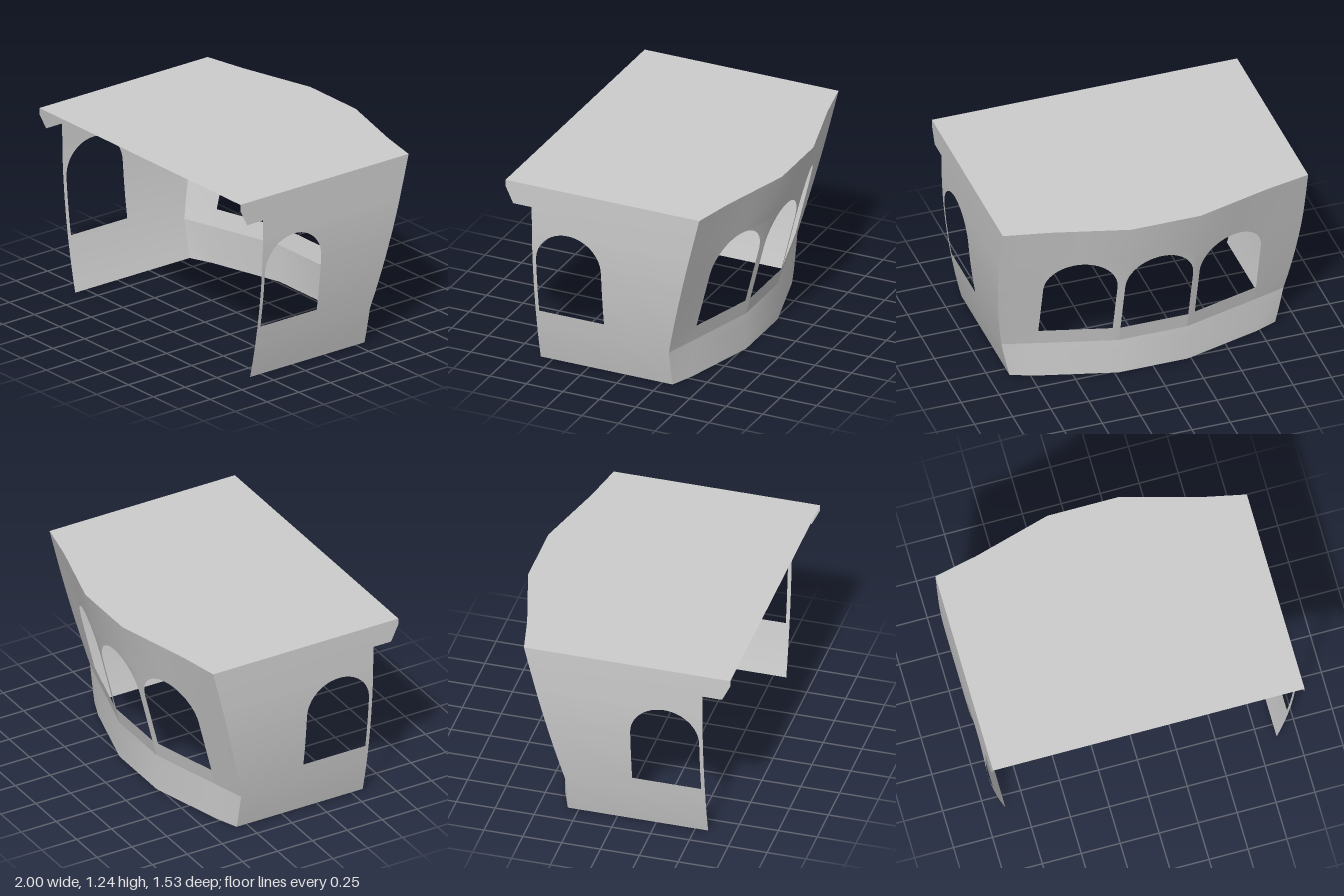
import * as THREE from 'three';
import { mergeVertices } from 'three/addons/utils/BufferGeometryUtils.js';

const TOP = 1.24, BAND = 0.245;           // roof height, top of the upright lower band
const SILL = 0.355, SPRING = 0.725, CROWN = 0.94, HALF = 0.222; // window opening
const FRONT = 0.583, EAVE = 0.763;        // front edge of the walls, front edge of the roof
const KINKS = [[0.226, 0.197], [0.72, 0.06]]; // folds of the back wall: x, bulge

const material = new THREE.MeshStandardMaterial({ color: 0xcccccc, side: THREE.DoubleSide });

// Half width of the shell, curving in towards the floor
const width = y => 1 - 0.13 * Math.max(0, 1 - y / 1.05) ** 2;
// z of the rear corners: upright band, then leaning backwards
const corner = y => -0.32 - 0.245 * Math.max(0, y - BAND) / (TOP - BAND);

// z of the folded back wall
function backZ(x, y) {
  const a = Math.abs(x), w = width(y), [[x0, b0], [x1, b1]] = KINKS;
  let bulge = b0;
  if (a > x1) bulge = b1 * (w - a) / (w - x1);
  else if (a > x0) bulge = b0 + (b1 - b0) * (a - x0) / (x1 - x0);
  return corner(y) - bulge;
}

// Half width of an arched opening at height y (zero above its crown)
function opening(y) {
  if (y <= SPRING) return HALF;
  const t = Math.min(1, (y - SPRING) / (CROWN - SPRING));
  return HALF * Math.sqrt(1 - t * t);
}

// Row heights; those in the arch are spaced by angle
const lowerRows = [0, 0.06, 0.12, 0.18, BAND];
const upperRows = [BAND, SILL, 0.48, 0.6];
const ARCH = 12;
for (let i = 0; i < ARCH; i++) {
  upperRows.push(SPRING + (CROWN - SPRING) * Math.sin(i / ARCH * Math.PI / 2));
}
upperRows.push(CROWN, 1.09, 1.2, TOP);

// Sheet lofted through rows of points; the listed columns are left open at window height
function sheet(name, rows, pointsAt, windows = []) {
  const pos = [], index = [];
  let n = 0;
  rows.forEach((y, j) => {
    const pts = pointsAt(y);
    n = pts.length;
    pts.forEach(p => pos.push(...p));
    if (j === rows.length - 1) return;
    for (let i = 0; i < n - 1; i++) {
      if (windows.includes(i) && y >= SILL) continue;
      const a = j * n + i, b = a + n;
      index.push(a, a + 1, b + 1, a, b + 1, b);
    }
  });
  let geo = new THREE.BufferGeometry();
  geo.setAttribute('position', new THREE.Float32BufferAttribute(pos, 3));
  geo.setIndex(index);
  geo = mergeVertices(geo, 1e-5);
  geo.computeVertexNormals();
  const mesh = new THREE.Mesh(geo, material);
  mesh.name = name;
  return mesh;
}

// Side wall with one window and the bracket under the eave
function sideWall(side) {
  const group = new THREE.Group();
  group.name = side > 0 ? 'leftWall' : 'rightWall';
  const order = pts => (side > 0 ? pts : pts.reverse());
  const at = (y, zs) => order(zs.map(z => [side * width(y), y, z]));
  const mid = 0.337;
  group.add(sheet('sidePanel', [...lowerRows, ...upperRows.slice(1)], y => {
    const h = opening(y);
    return at(y, [FRONT, mid + h, mid - h, corner(y)]);
  }, [1]));
  group.add(sheet('eaveBracket', [1.09, 1.2, TOP],
    y => at(y, [y < 1.1 ? 0.71 : EAVE, FRONT])));
  return group;
}

// Folded back wall: plain lower band and leaning upper part with three windows
function backWall() {
  const group = new THREE.Group();
  group.name = 'backWall';
  const [k0, k1] = KINKS.map(k => k[0]);
  const at = (y, half) => [...half, ...half.map(x => -x).reverse()].map(x => [x, y, backZ(x, y)]);
  group.add(sheet('lowerBand', lowerRows, y => at(y, [width(y), k1, k0])));
  group.add(sheet('windowWall', upperRows, y => {
    const h = opening(y);
    return at(y, [width(y), k1, 0.491 + h, 0.491 - h, k0, h]);
  }, [2, 5, 8]));
  return group;
}

// Flat roof following the folds at the back
function roof() {
  const back = [1, KINKS[1][0], KINKS[0][0]];
  const xs = [...back, ...back.map(x => -x).reverse()];
  const outline = xs.map(x => new THREE.Vector2(x, -backZ(x, TOP)));
  outline.push(new THREE.Vector2(-1, -EAVE), new THREE.Vector2(1, -EAVE));
  const geo = new THREE.ShapeGeometry(new THREE.Shape(outline));
  geo.rotateX(-Math.PI / 2).translate(0, TOP, 0);
  const mesh = new THREE.Mesh(geo, material);
  mesh.name = 'roof';
  return mesh;
}

export function createModel() {
  const model = new THREE.Group();
  model.name = 'cabin';
  model.add(roof(), backWall(), sideWall(1), sideWall(-1));
  return model;
}
